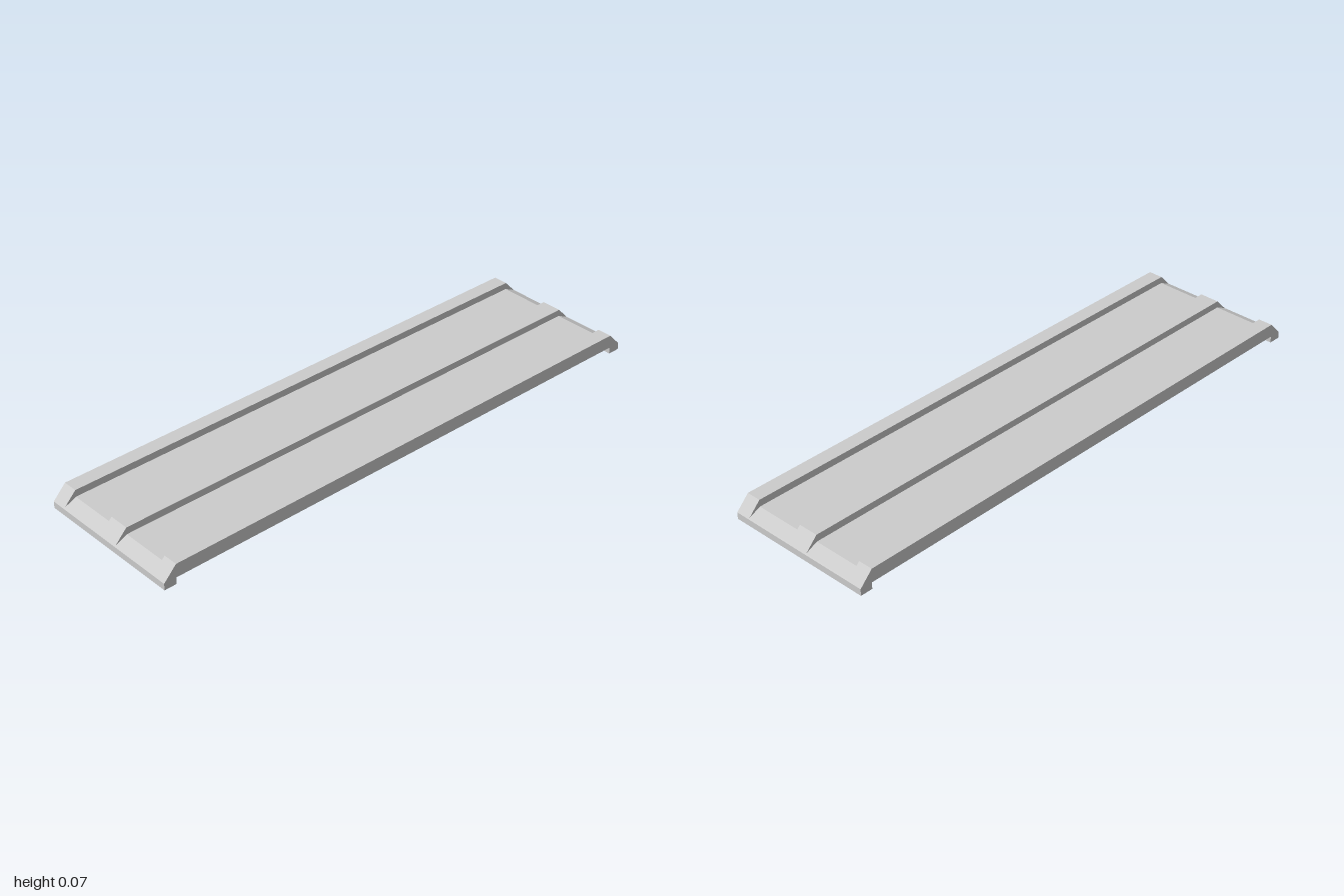
import * as THREE from 'three';

const HALF_LENGTH = 1, LIP = 0.955, BASE = 0.024;

// Side profile (z, y) with a lip under each end, extruded across x
function strip(name, x0, x1, ends, material) {
  const half = [[LIP, BASE], [LIP, 0], [HALF_LENGTH, 0], [HALF_LENGTH, BASE], ...ends];
  const mirrored = half.map(([z, y]) => [-z, y]).reverse();
  const shape = new THREE.Shape([...half, ...mirrored].map(([z, y]) => new THREE.Vector2(z, y)));
  const geometry = new THREE.ExtrudeGeometry(shape, { depth: x1 - x0, bevelEnabled: false });
  geometry.rotateY(-Math.PI / 2); // profile axis to z, depth to -x
  geometry.translate(x1, 0, 0);
  const mesh = new THREE.Mesh(geometry, material);
  mesh.name = name;
  return mesh;
}

export function createModel() {
  const group = new THREE.Group();
  group.name = 'ribbedPlank';
  const material = new THREE.MeshStandardMaterial({ color: 0xcccccc, flatShading: true });

  // Raised ribs with steep chamfered ends, lower panels with shallow ones
  const rib = [[0.953, 0.073]];
  const panel = [[0.996, 0.028], [0.953, 0.048]];

  group.add(strip('centreRib', -0.037, 0.037, rib, material));
  for (const [side, s] of [['left', 1], ['right', -1]]) {
    const add = (name, a, b, ends) =>
      group.add(strip(side + name, Math.min(s * a, s * b), Math.max(s * a, s * b), ends, material));
    add('Panel', 0.037, 0.223, panel);
    add('EdgeRib', 0.223, 0.277, rib);
  }
  return group;
}
